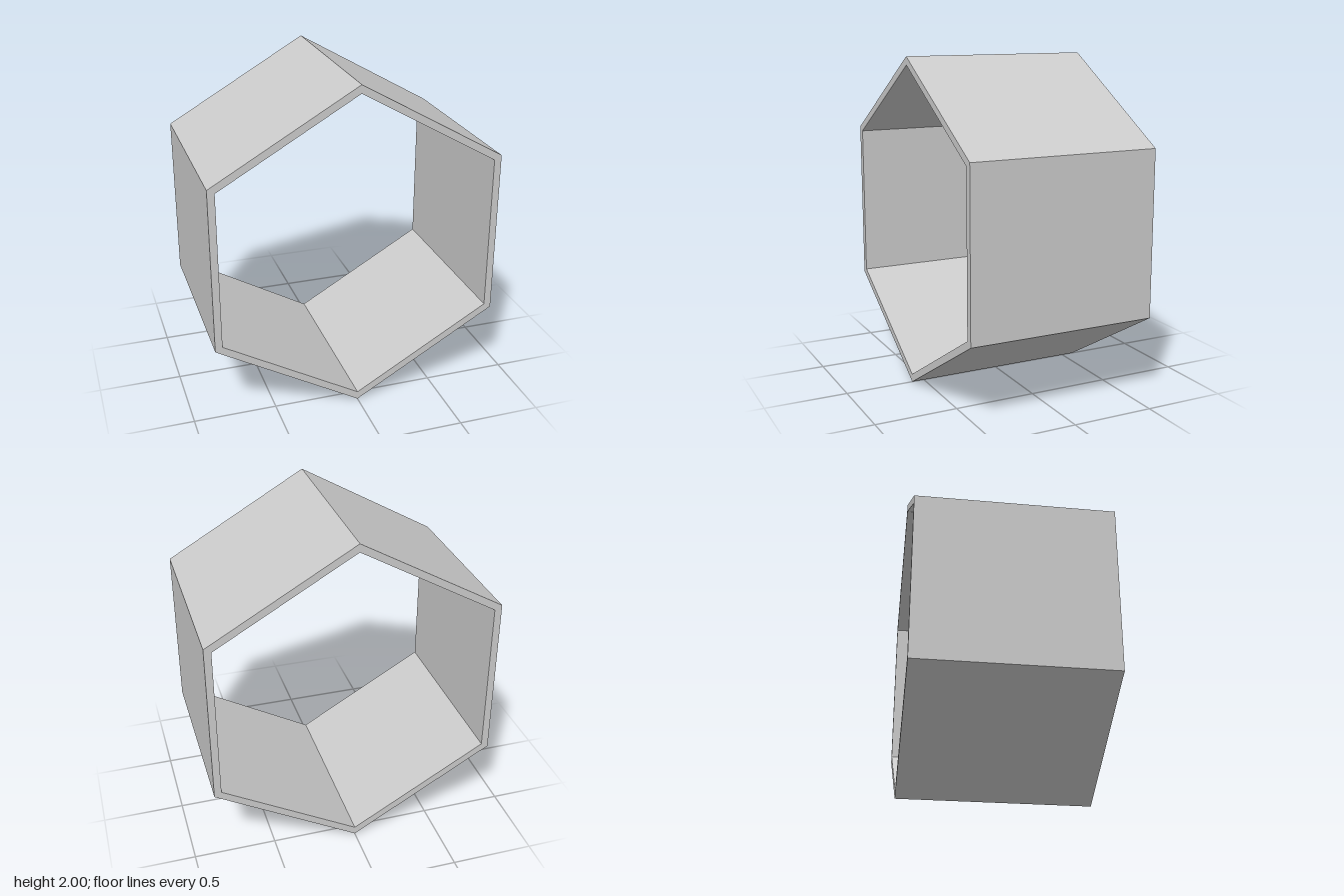
import * as THREE from 'three';

const OUTER_RADIUS = 1;
const INNER_RADIUS = 0.95;
const DEPTH = 1.155;

// Six corners of a hexagon standing on a point
function hexagon(radius) {
  return Array.from({ length: 6 }, (_, i) => {
    const a = Math.PI / 2 + (i * Math.PI) / 3;
    return new THREE.Vector2(radius * Math.cos(a), radius * Math.sin(a));
  });
}

export function createModel() {
  const group = new THREE.Group();
  group.name = 'hexagonalShelf';

  // Open hexagonal tube: outer outline with a smaller hexagonal hole
  const outline = new THREE.Shape(hexagon(OUTER_RADIUS));
  outline.holes.push(new THREE.Path(hexagon(INNER_RADIUS).reverse()));

  const geometry = new THREE.ExtrudeGeometry(outline, { depth: DEPTH, bevelEnabled: false });
  geometry.translate(0, OUTER_RADIUS, -DEPTH / 2);

  const material = new THREE.MeshStandardMaterial({ color: 0xcccccc, flatShading: true });
  const frame = new THREE.Mesh(geometry, material);
  frame.name = 'hexagonalFrame';
  group.add(frame);

  return group;
}
